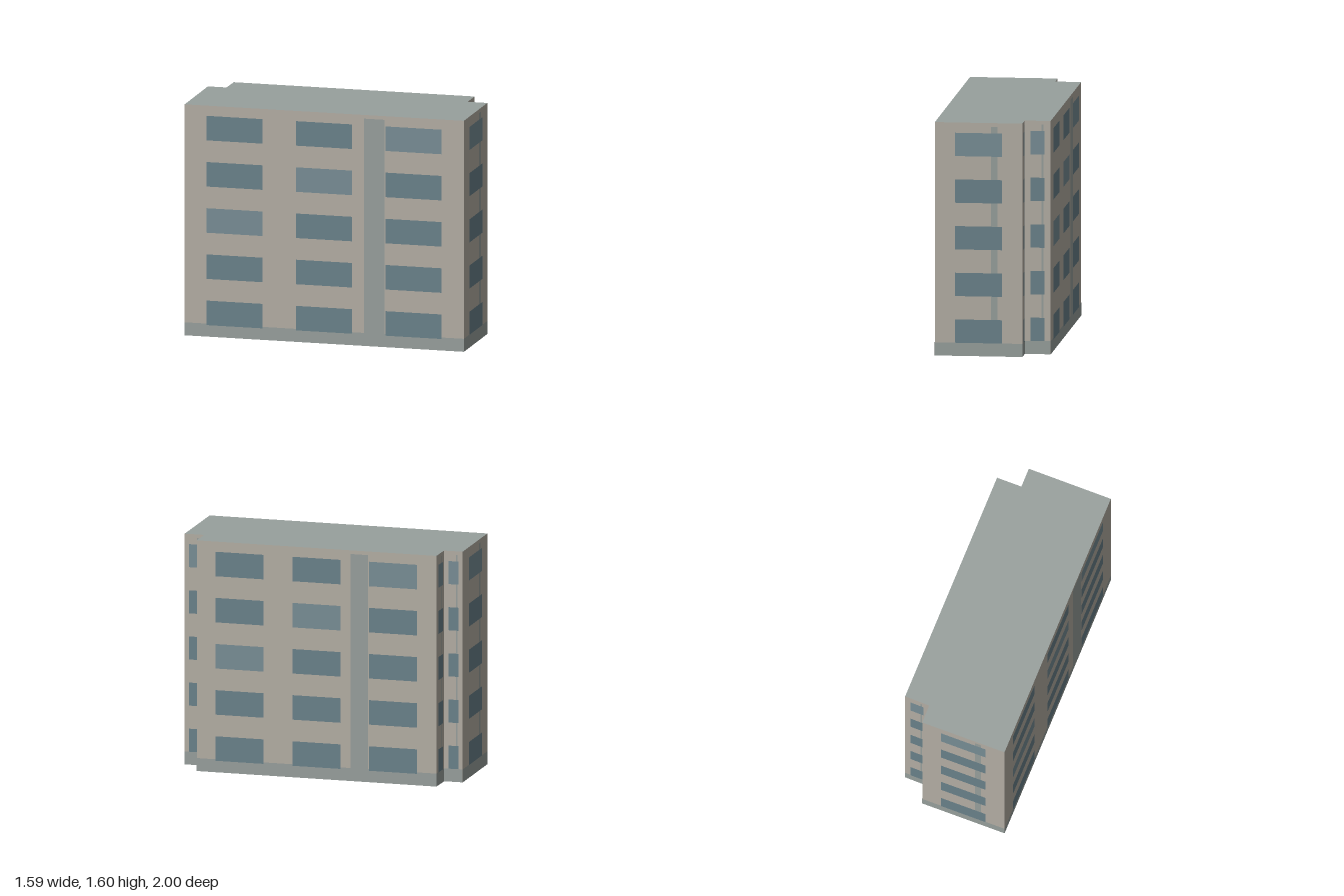
import * as THREE from 'three';

const HEIGHT = 1.6;
const FLOORS = 5;
const PITCH = 0.32;
const PLINTH = 0.09;

// Footprint corners [x, z], walked so each wall runs left to right seen from outside
const FOOTPRINT = [
  [-0.795, -0.695], [0.197, 1.0], [0.711, 0.697], [0.641, 0.578],
  [0.793, 0.488], [-0.062, -0.975], [-0.215, -0.888], [-0.282, -1.0],
];

const paint = (color) => new THREE.MeshStandardMaterial({ color, side: THREE.DoubleSide });
const wallPaint = paint(0xb5afa5);
const trimPaint = paint(0x98a09d);
const glassPaint = paint(0x6a828b);
const paleGlassPaint = paint(0x788e96);

// Upright rectangle on a wall whose local x runs along it and local z points out
function panel(parent, name, material, x0, x1, y0, y1, out) {
  const mesh = new THREE.Mesh(new THREE.PlaneGeometry(x1 - x0, y1 - y0), material);
  mesh.position.set((x0 + x1) / 2, (y0 + y1) / 2, out);
  mesh.name = name;
  parent.add(mesh);
}

function createFacade([ax, az], [bx, bz]) {
  const facade = new THREE.Group();
  const length = Math.hypot(bx - ax, bz - az);
  const isLong = length > 1;
  facade.name = isLong ? 'longFacade' : 'endFacade';
  facade.position.set(ax, 0, az);
  facade.rotation.y = -Math.atan2(bz - az, bx - ax);

  panel(facade, 'wall', wallPaint, 0, length, 0, HEIGHT, 0);
  panel(facade, 'plinth', trimPaint, 0, length, 0, PLINTH, 0.001);
  panel(facade, 'verticalStrip', trimPaint, 0.643 * length, 0.716 * length, PLINTH, 1.575, 0.002);

  // Three window bays on the long walls, a single wider one on the others
  const bays = isLong ? [[0.078, 0.279], [0.4, 0.6], [0.72, 0.92]] : [[0.23, 0.77]];
  const sill = isLong ? 0.08 : 0.09;
  for (let floor = 0; floor < FLOORS; floor++) {
    bays.forEach(([t0, t1], bay) => {
      const pale = isLong ? floor - bay === 2 : floor === FLOORS - 1;
      panel(facade, 'window', pale ? paleGlassPaint : glassPaint,
        t0 * length, t1 * length, sill + floor * PITCH, 0.25 + floor * PITCH, 0.003);
    });
  }
  return facade;
}

export function createModel() {
  const model = new THREE.Group();
  model.name = 'apartmentBlock';

  // Walls, open underneath
  FOOTPRINT.forEach((corner, i) => {
    model.add(createFacade(corner, FOOTPRINT[(i + 1) % FOOTPRINT.length]));
  });

  // Flat roof
  const outline = new THREE.Shape(FOOTPRINT.map(([x, z]) => new THREE.Vector2(x, -z)));
  const roof = new THREE.Mesh(new THREE.ShapeGeometry(outline).rotateX(-Math.PI / 2), trimPaint);
  roof.position.y = HEIGHT;
  roof.name = 'roof';
  model.add(roof);

  return model;
}
